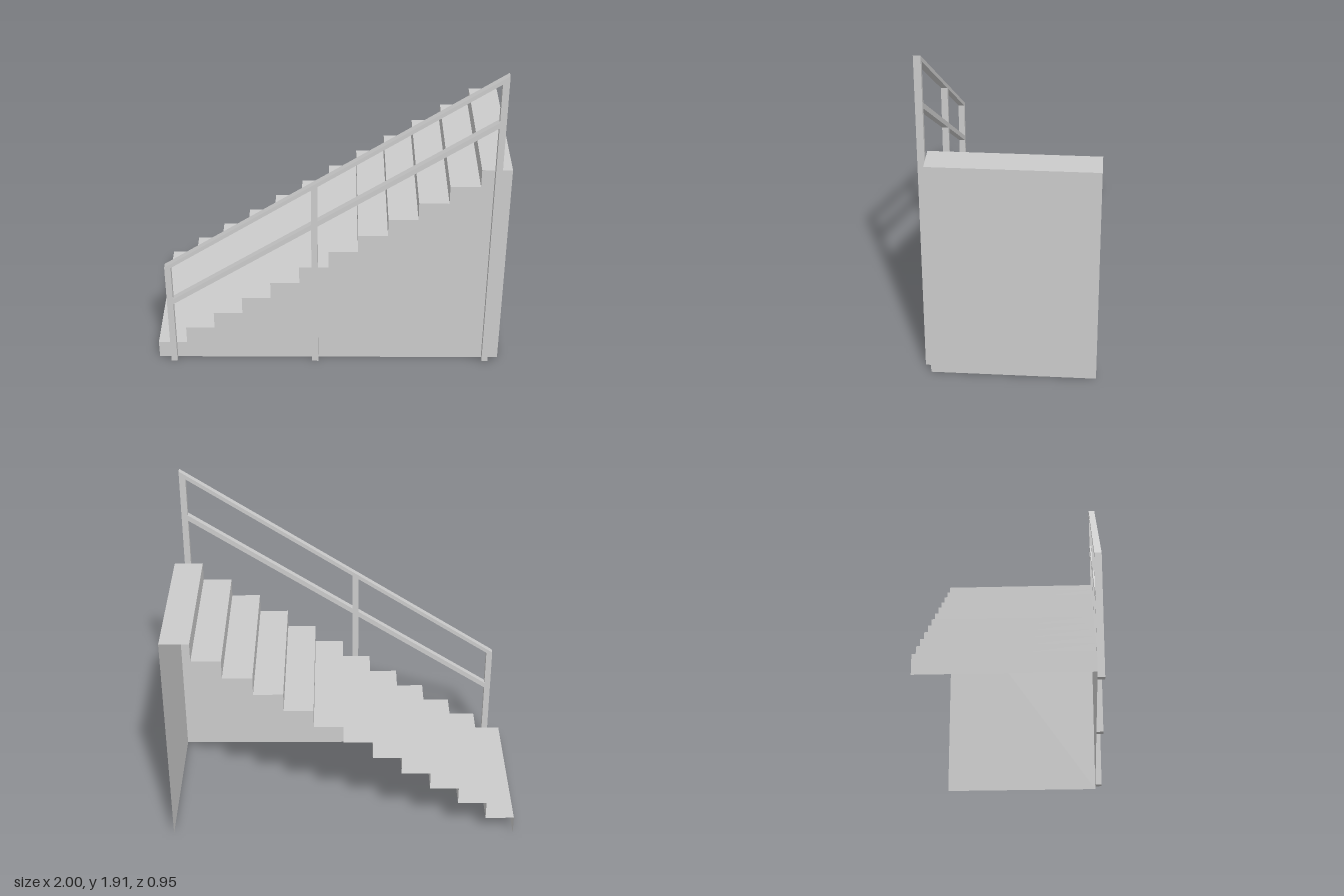
import * as THREE from 'three';

const STEPS = 12, RUN = 2 / STEPS, HEIGHT = 1.313, RISE = HEIGHT / STEPS;
const BACK = -0.475, WALL = 0.437, FRONT = 0.475;
const DEPTH = WALL - BACK, MID_Z = (WALL + BACK) / 2;

export function createModel() {
  const model = new THREE.Group();
  const solid = new THREE.MeshStandardMaterial({ color: 0xcccccc, flatShading: true });
  const sheet = new THREE.MeshStandardMaterial({ color: 0xcccccc, flatShading: true, side: THREE.DoubleSide });

  const add = (parent, name, geometry, material) => {
    const mesh = new THREE.Mesh(geometry, material);
    mesh.name = name;
    parent.add(mesh);
    return mesh;
  };

  // Stairs: a thin shell, open at the back and underneath
  const stairs = new THREE.Group();
  stairs.name = 'stairs';
  model.add(stairs);

  const profile = [new THREE.Vector2(-1, 0)];
  for (let i = 0; i < STEPS; i++) {
    const x = -1 + i * RUN, y = (i + 1) * RISE;
    profile.push(new THREE.Vector2(x, y), new THREE.Vector2(x + RUN, y));

    const riser = add(stairs, 'riser', new THREE.PlaneGeometry(DEPTH, RISE).rotateY(-Math.PI / 2), sheet);
    riser.position.set(x, y - RISE / 2, MID_Z);
    const tread = add(stairs, 'tread', new THREE.PlaneGeometry(RUN, DEPTH).rotateX(-Math.PI / 2), sheet);
    tread.position.set(x + RUN / 2, y, MID_Z);
  }
  profile.push(new THREE.Vector2(1, 0));

  const side = add(stairs, 'sideWall', new THREE.ShapeGeometry(new THREE.Shape(profile)), sheet);
  side.position.z = WALL;
  const end = add(stairs, 'endWall', new THREE.PlaneGeometry(DEPTH, HEIGHT).rotateY(Math.PI / 2), sheet);
  end.position.set(1, HEIGHT / 2, MID_Z);

  // Railing: posts and sloped rails, all bars with vertical ends
  const railing = new THREE.Group();
  railing.name = 'railing';
  model.add(railing);

  const SLOPE = 0.659;
  const topLine = x => 0.68 + (x + 0.928) * SLOPE;
  const midLine = x => 0.455 + (x + 0.89) * SLOPE * 0.995;

  const bar = (name, x0, x1, low, high) => {
    const shape = new THREE.Shape([
      new THREE.Vector2(x0, low(x0)), new THREE.Vector2(x1, low(x1)),
      new THREE.Vector2(x1, high(x1)), new THREE.Vector2(x0, high(x0)),
    ]);
    const geometry = new THREE.ExtrudeGeometry(shape, { depth: FRONT - WALL, bevelEnabled: false });
    add(railing, name, geometry, solid).position.z = WALL;
  };

  const ground = () => 0;
  const underTop = x => topLine(x) - 0.026;
  const underMid = x => midLine(x) - 0.034;
  bar('lowerPost', -0.928, -0.892, ground, topLine);
  bar('middlePost', -0.096, -0.06, ground, underTop);
  bar('upperPost', 0.904, 0.94, ground, topLine);
  bar('handrail', -0.892, 0.904, underTop, topLine);
  bar('lowerMidRail', -0.892, -0.096, underMid, midLine);
  bar('upperMidRail', -0.06, 0.904, underMid, midLine);

  return model;
}
